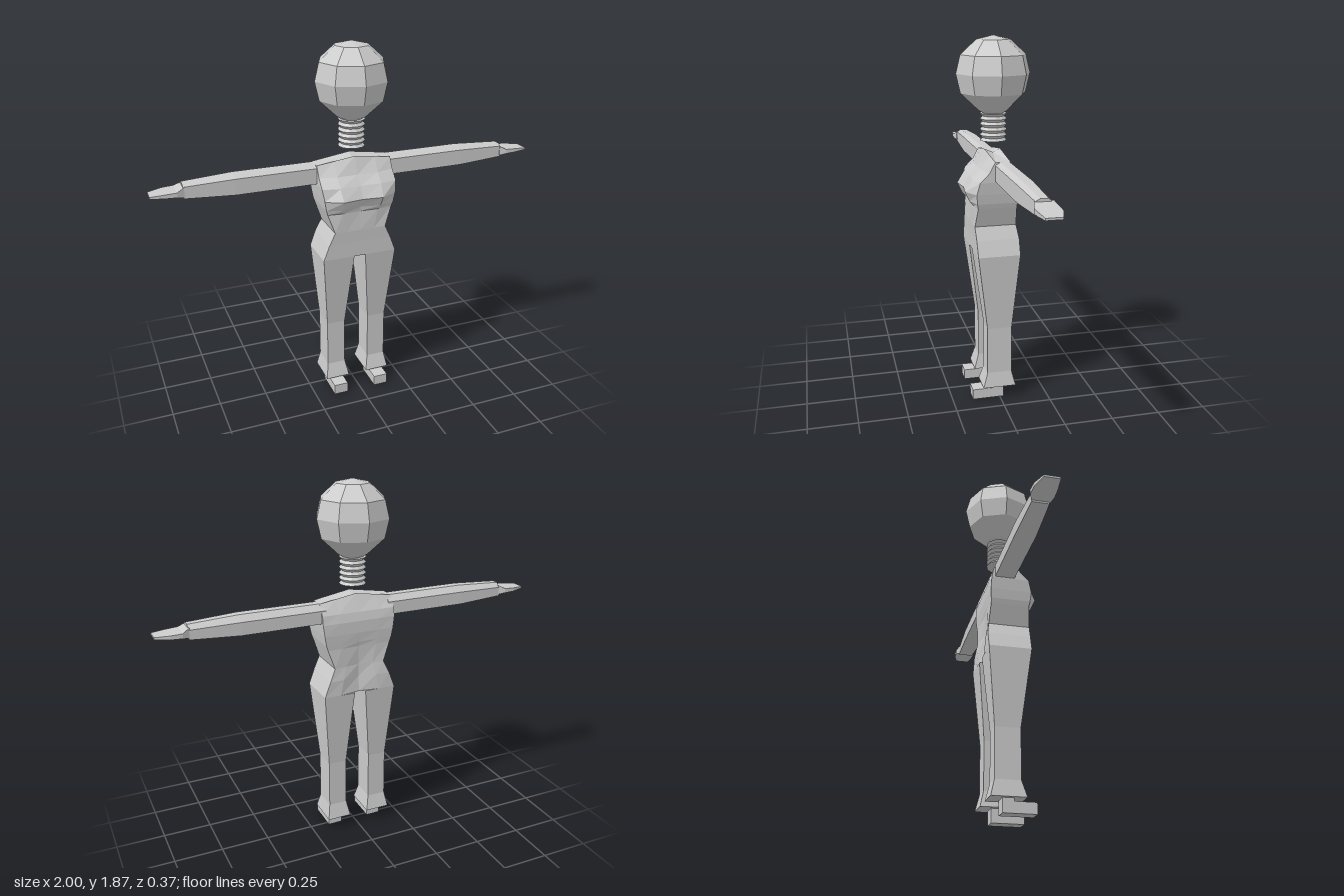
import * as THREE from 'three';

const grey = new THREE.MeshStandardMaterial({ color: 0xcccccc, flatShading: true });

function mesh(name, geometry) {
  const m = new THREE.Mesh(geometry, grey);
  m.name = name;
  return m;
}

// Skin between equal-length rings of [x, y, z] points, capped at both ends, faces turned outward
function loft(rings) {
  const n = rings[0].length, tris = [];
  for (let i = 0; i < rings.length - 1; i++) {
    for (let j = 0; j < n; j++) {
      const k = (j + 1) % n;
      const a = rings[i][j], b = rings[i][k], c = rings[i + 1][k], d = rings[i + 1][j];
      tris.push([a, b, c], [a, c, d]);
    }
  }
  const cap = (ring, flip) => {
    const mid = [0, 1, 2].map((e) => ring.reduce((s, p) => s + p[e], 0) / n);
    ring.forEach((p, j) => {
      const q = ring[(j + 1) % n];
      tris.push(flip ? [mid, q, p] : [mid, p, q]);
    });
  };
  cap(rings[0], true);
  cap(rings[rings.length - 1], false);
  let volume = 0;
  for (const [a, b, c] of tris) {
    volume += a[0] * (b[1] * c[2] - b[2] * c[1])
      + a[1] * (b[2] * c[0] - b[0] * c[2])
      + a[2] * (b[0] * c[1] - b[1] * c[0]);
  }
  if (volume < 0) tris.forEach((t) => t.reverse());
  const g = new THREE.BufferGeometry();
  g.setAttribute('position', new THREE.Float32BufferAttribute(tris.flat(2), 3));
  g.computeVertexNormals();
  return g;
}

// Rectangular section at height y
const rect = (y, x0, x1, z0, z1) => [[x0, y, z0], [x1, y, z0], [x1, y, z1], [x0, y, z1]];

// Torso ring: front depths and back depths given at the side, halfway in and at the centre
function torsoRing([y, w, front, back, rise = 0]) {
  const cols = [-1, -0.55, 0, 0.55, 1];
  const pick = (d, c) => d[c === 0 ? 2 : Math.abs(c) < 1 ? 1 : 0];
  const point = (d) => (c) => [c * w, y + rise * (1 - Math.abs(c)), pick(d, c)];
  return [...cols.map(point(front)), ...cols.reverse().map(point(back))];
}

// Arm section at x, scaled about the arm's axis
function armRing(x, s) {
  const cy = 1.23, cz = -0.015;
  const outline = [[0.035, 1.185], [0.035, 1.265], [0.01, 1.28], [-0.035, 1.28], [-0.065, 1.25], [-0.065, 1.185]];
  return outline.map(([z, y]) => [x, cy + (y - cy) * s, cz + (z - cz) * (0.35 + 0.65 * s)]);
}

// Hand section at x
const handRing = (x, y0, y1, z0, z1) => [[x, y0, z0], [x, y1, z0], [x, y1, z1], [x, y0, z1]];

export function createModel() {
  const model = new THREE.Group();
  model.name = 'figure';

  // Head: eight-sided ball narrowing to the chin
  const headProfile = [[0, 1.487], [0.045, 1.487], [0.075, 1.505], [0.165, 1.59], [0.187, 1.685],
    [0.165, 1.775], [0.085, 1.847], [0, 1.867]].map(([r, y]) => new THREE.Vector2(r, y));
  model.add(mesh('head', new THREE.LatheGeometry(headProfile, 8)));

  // Neck: stack of ridges
  const neckProfile = [new THREE.Vector2(0, 1.355)];
  const ridges = 5, y0 = 1.355, step = 0.135 / ridges;
  for (let i = 0; i <= ridges * 2; i++) {
    neckProfile.push(new THREE.Vector2(i % 2 ? 0.056 : 0.068, y0 + i * step / 2));
  }
  neckProfile.push(new THREE.Vector2(0, 1.49));
  model.add(mesh('neck', new THREE.LatheGeometry(neckProfile, 12)));

  // Torso from hips to shoulders
  const torso = [
    [0.8, 0.195, [0.12, 0.12, 0.12], [-0.095, -0.095, -0.08]],
    [0.88, 0.165, [0.122, 0.122, 0.122], [-0.095, -0.092, -0.07]],
    [0.945, 0.135, [0.125, 0.125, 0.125], [-0.085, -0.08, -0.07]],
    [1.045, 0.17, [0.115, 0.125, 0.12], [-0.08, -0.08, -0.075]],
    [1.07, 0.178, [0.12, 0.145, 0.125], [-0.082, -0.082, -0.08]],
    [1.12, 0.187, [0.125, 0.168, 0.155], [-0.085, -0.085, -0.085]],
    [1.18, 0.195, [0.11, 0.13, 0.122], [-0.083, -0.085, -0.085]],
    [1.225, 0.195, [0.065, 0.085, 0.085], [-0.075, -0.075, -0.075]],
    [1.28, 0.195, [0.035, 0.04, 0.045], [-0.04, -0.038, -0.035], 0.03],
  ];
  model.add(mesh('torso', loft(torso.map(torsoRing))));

  for (const [side, s] of [['left', 1], ['right', -1]]) {
    const mirror = (rings) => loft(rings.map((r) => r.map(([x, y, z]) => [x * s, y, z])));

    // Arm and flat hand
    model.add(mesh(side + 'Arm', mirror([armRing(0.17, 1), armRing(0.6, 1), armRing(0.845, 0.72)])));
    model.add(mesh(side + 'Hand', mirror([
      handRing(0.84, 1.205, 1.255, -0.055, 0.03),
      handRing(0.875, 1.213, 1.237, -0.07, 0.04),
      handRing(0.93, 1.215, 1.234, -0.068, 0.038),
      handRing(1, 1.219, 1.229, -0.045, 0.03),
    ])));

    // Leg with flared hem
    model.add(mesh(side + 'Leg', mirror([
      rect(0.07, 0.05, 0.177, -0.08, 0.092),
      rect(0.15, 0.066, 0.163, -0.06, 0.068),
      rect(0.4, 0.066, 0.163, -0.06, 0.068),
      rect(0.8, 0.03, 0.195, -0.095, 0.12),
    ])));

    // Foot with ankle block
    model.add(mesh(side + 'Foot', mirror([rect(0, 0.078, 0.153, -0.02, 0.145), rect(0.055, 0.078, 0.153, -0.02, 0.145)])));
    model.add(mesh(side + 'Ankle', mirror([rect(0.05, 0.078, 0.153, -0.02, 0.035), rect(0.08, 0.078, 0.153, -0.02, 0.035)])));
  }
  return model;
}
